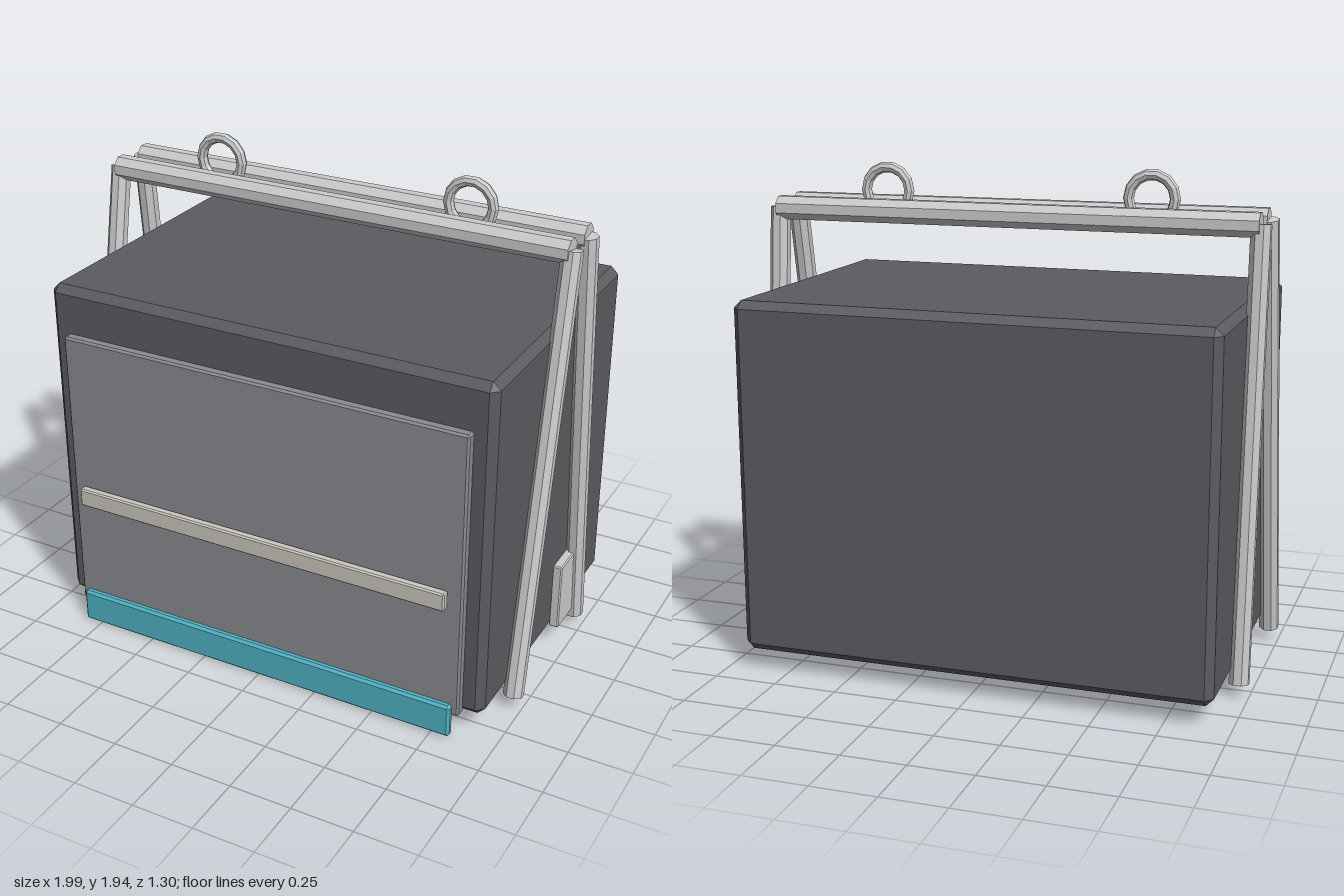
import * as THREE from 'three';
import { ConvexGeometry } from 'three/addons/geometries/ConvexGeometry.js';

const mat = (color) => new THREE.MeshStandardMaterial({ color, flatShading: true });

// Box between two corners with edges cut at 45 degrees by c
function chamferBox(min, max, c) {
  const points = [];
  const half = max.map((v, i) => (v - min[i]) / 2);
  const mid = max.map((v, i) => (v + min[i]) / 2);
  for (const sx of [-1, 1]) for (const sy of [-1, 1]) for (const sz of [-1, 1]) {
    for (let axis = 0; axis < 3; axis++) {
      const p = [sx, sy, sz].map((s, i) => mid[i] + s * (half[i] - (i === axis ? 0 : c)));
      points.push(new THREE.Vector3(...p));
    }
  }
  return new ConvexGeometry(points);
}

// Eight-sided rod between two points
function rod(a, b, r) {
  const start = new THREE.Vector3(...a), end = new THREE.Vector3(...b);
  const dir = end.clone().sub(start);
  const geo = new THREE.CylinderGeometry(r, r, dir.length(), 8);
  geo.rotateY(Math.PI / 8);
  geo.applyQuaternion(new THREE.Quaternion().setFromUnitVectors(
    new THREE.Vector3(0, 1, 0), dir.normalize()));
  const mid = start.add(end).multiplyScalar(0.5);
  return geo.translate(mid.x, mid.y, mid.z);
}

export function createModel() {
  const model = new THREE.Group();
  model.name = 'hangingContainer';
  const dark = mat(0x5c5b61), panel = mat(0x8b8c91), metal = mat(0xcccccc);
  const cream = mat(0xcac8be), teal = mat(0x4fb3c4);

  const add = (name, geometry, material) => {
    const mesh = new THREE.Mesh(geometry, material);
    mesh.name = name;
    model.add(mesh);
    return mesh;
  };

  // Main body and front door
  add('body', chamferBox([-0.93, 0.09, -0.65], [0.93, 1.47, 0.57], 0.03), dark);
  add('door', chamferBox([-0.85, 0.095, 0.56], [0.85, 1.28, 0.607], 0.008), panel);
  add('handleBar', chamferBox([-0.795, 0.57, 0.615], [0.795, 0.645, 0.65], 0.006), cream);
  add('lowerLip', chamferBox([-0.825, 0.01, 0.6], [0.825, 0.148, 0.635], 0.01), teal);

  // Tray under the front edge
  add('underTray', chamferBox([-0.44, 0.04, 0.18], [0.44, 0.095, 0.61], 0.002), panel);

  // A-frame legs and side plates
  for (const [side, s] of [['left', 1], ['right', -1]]) {
    add(side + 'FrontLeg', rod([s * 0.96, 0.06, 0.335], [s * 0.96, 1.77, 0.012], 0.04), metal);
    add(side + 'RearLeg', rod([s * 0.96, 0.06, -0.302], [s * 0.96, 1.77, -0.144], 0.04), metal);
    const x = [s * 0.925, s * 0.965].sort((a, b) => a - b);
    add(side + 'SidePlate', chamferBox([x[0], 0.095, -0.29], [x[1], 0.38, -0.108], 0.005), metal);
  }

  // Twin top bars
  add('frontTopBar', rod([-0.96, 1.767, 0.015], [0.96, 1.767, 0.015], 0.049), metal);
  add('rearTopBar', rod([-0.96, 1.767, -0.148], [0.96, 1.767, -0.148], 0.049), metal);

  // Lifting rings between the bars
  for (const x of [-0.532, 0.532]) {
    const ring = add(x > 0 ? 'leftRing' : 'rightRing',
      new THREE.TorusGeometry(0.09, 0.021, 8, 14), metal);
    ring.position.set(x, 1.84, -0.065);
  }
  return model;
}
